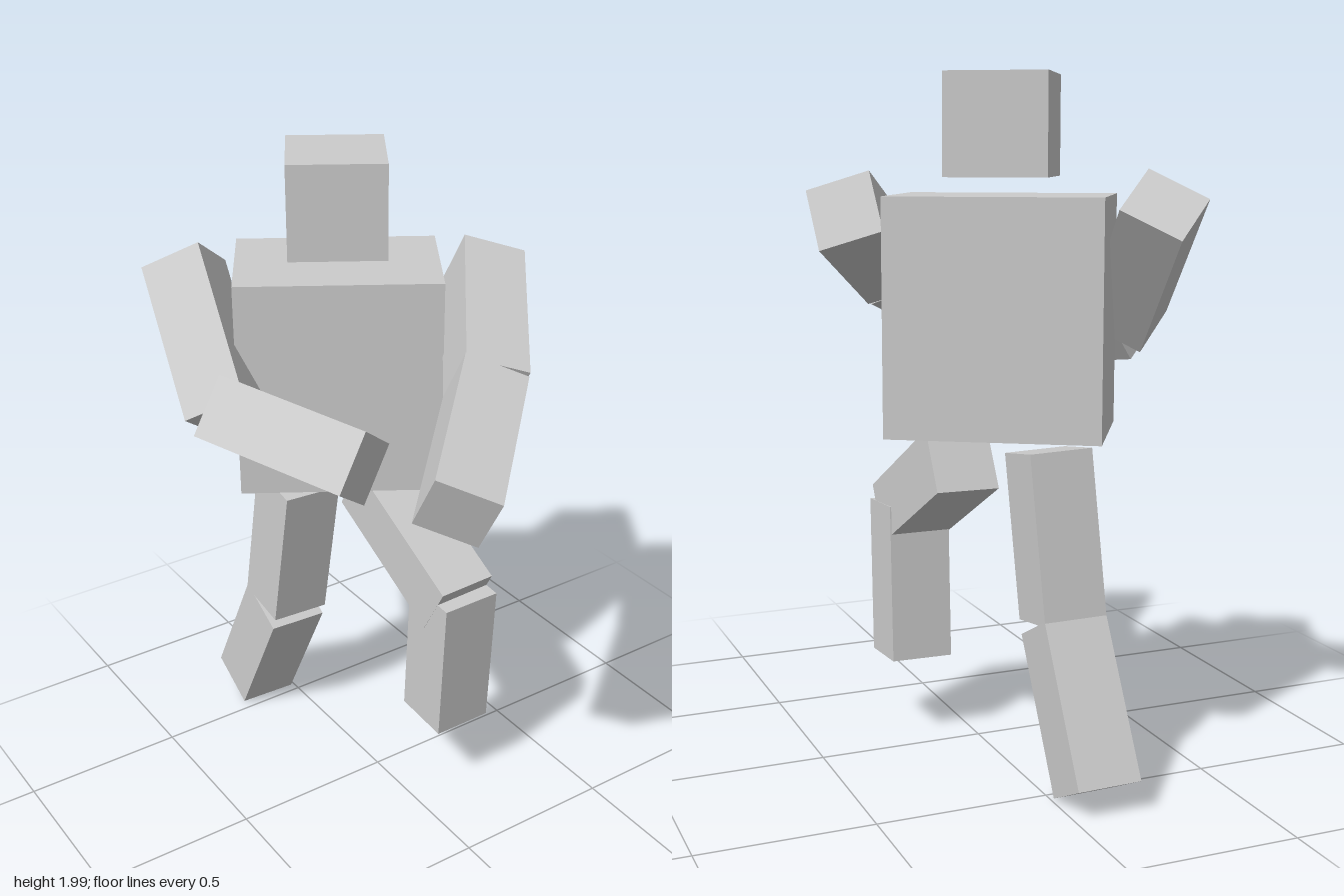
import * as THREE from 'three';

const THICK = 0.188;
const material = new THREE.MeshStandardMaterial({ color: 0xcccccc, flatShading: true });

// Square bar running between two end centres; side is the direction of one cross-section edge
function limb(name, start, end, side) {
  const a = new THREE.Vector3(...start);
  const b = new THREE.Vector3(...end);
  const y = a.clone().sub(b);
  const length = y.length();
  y.normalize();
  const x = new THREE.Vector3(...side);
  x.addScaledVector(y, -x.dot(y)).normalize();
  const z = new THREE.Vector3().crossVectors(x, y);
  const mesh = new THREE.Mesh(new THREE.BoxGeometry(THICK, length, THICK), material);
  mesh.name = name;
  mesh.quaternion.setFromRotationMatrix(new THREE.Matrix4().makeBasis(x, y, z));
  mesh.position.copy(a).add(b).multiplyScalar(0.5);
  return mesh;
}

function block(name, w, h, d, y) {
  const mesh = new THREE.Mesh(new THREE.BoxGeometry(w, h, d), material);
  mesh.name = name;
  mesh.position.y = y;
  return mesh;
}

export function createModel() {
  const model = new THREE.Group();
  model.name = 'blockFigure';

  // Torso and head share one twist about the vertical
  const body = new THREE.Group();
  body.name = 'body';
  body.position.set(0.033, 0, -0.258);
  body.rotation.y = -0.553;
  body.add(block('torso', 0.6, 0.66, 0.395, 1.34));
  body.add(block('head', 0.285, 0.28, 0.285, 1.86));
  model.add(body);

  // Each limb: name, upper end, lower end, cross-section edge direction
  const limbs = [
    ['leftUpperArm', [0.436, 1.626, -0.083], [0.176, 1.436, 0.279], [0.16, -0.055, 0.083]],
    ['leftForearm', [0.17, 1.439, 0.284], [-0.16, 1.286, 0.6], [-0.137, 0.065, -0.11]],
    ['rightUpperArm', [-0.322, 1.648, -0.538], [-0.384, 1.309, -0.198], [-0.135, -0.085, -0.103]],
    ['rightForearm', [-0.398, 1.318, -0.212], [-0.19, 1.258, 0.218], [0.105, 0.15, -0.03]],
    ['leftThigh', [0.145, 0.93, -0.235], [0.16, 0.685, 0.2], [1, 0, 0]],
    ['leftShin', [0.16, 0.725, 0.175], [0.165, 0.25, 0.142], [1, 0, 0]],
    ['rightThigh', [-0.08, 0.955, -0.325], [-0.095, 0.48, -0.4], [1, -0.02, 0.02]],
    ['rightShin', [-0.095, 0.467, -0.405], [-0.103, 0.05, -0.615], [1, -0.02, 0.02]],
  ];
  for (const spec of limbs) model.add(limb(...spec));

  return model;
}
